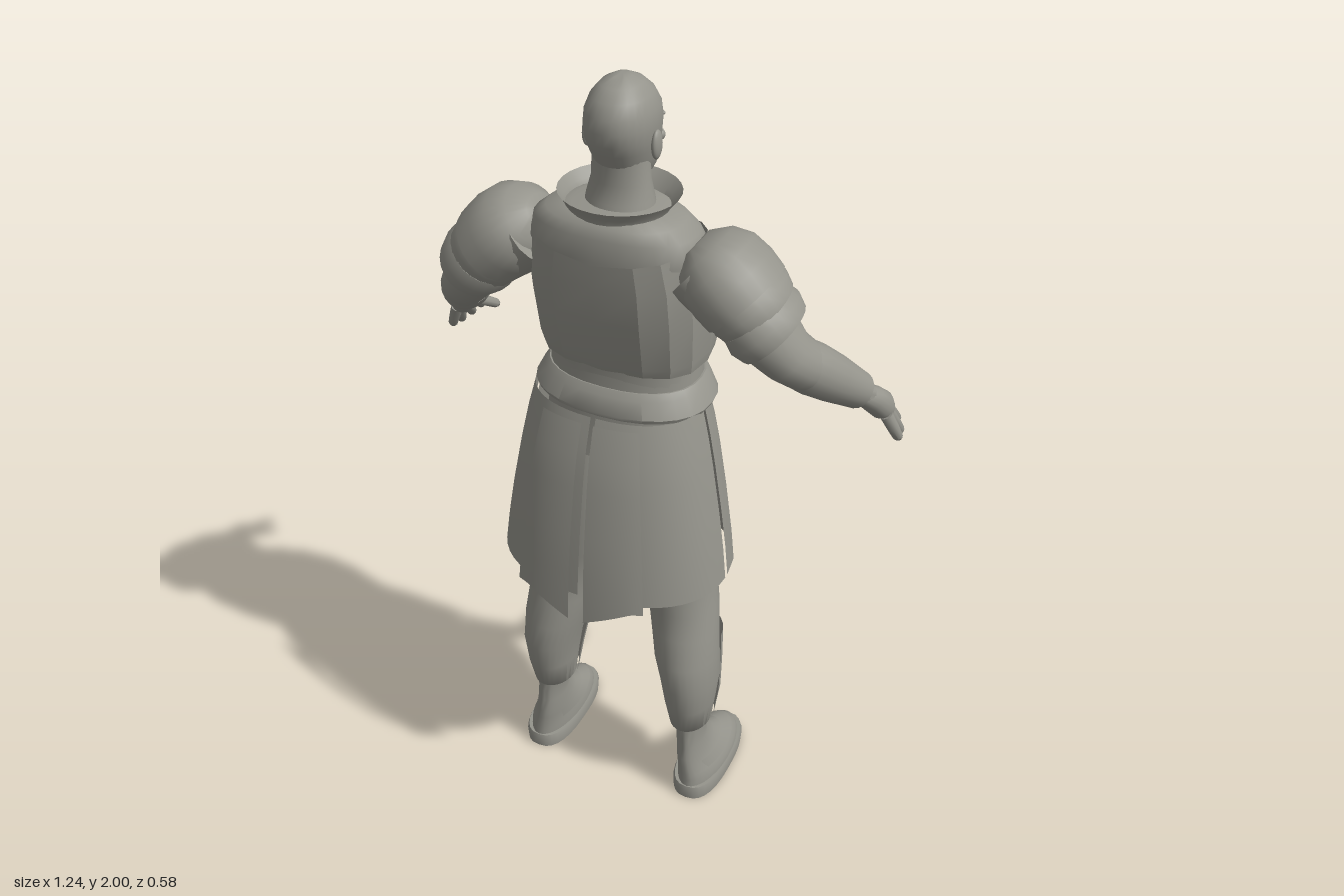
import * as THREE from 'three';
import { toCreasedNormals } from 'three/addons/utils/BufferGeometryUtils.js';

const grey = new THREE.MeshStandardMaterial({ color: 0x95948c, side: THREE.DoubleSide });
grey.name = 'plain grey';

// Joins cross-sections (arrays of points) into one surface
function skin(sections, { closed = true, caps = true, crease = 0.7 } = {}) {
  const n = sections[0].length, pos = [], idx = [];
  sections.forEach(s => s.forEach(p => pos.push(p.x, p.y, p.z)));
  const cols = closed ? n : n - 1;
  for (let i = 0; i < sections.length - 1; i++) {
    for (let j = 0; j < cols; j++) {
      const a = i * n + j, b = i * n + (j + 1) % n;
      idx.push(a, a + n, b, b, a + n, b + n);
    }
  }
  if (closed && caps) {
    for (const i of [0, sections.length - 1]) {
      const c = sections[i].reduce((m, p) => m.add(p), new THREE.Vector3()).divideScalar(n);
      const k = pos.length / 3;
      pos.push(c.x, c.y, c.z);
      for (let j = 0; j < n; j++) {
        const a = i * n + j, b = i * n + (j + 1) % n;
        idx.push(...(i === 0 ? [k, a, b] : [k, b, a]));
      }
    }
  }
  // Turn the faces outwards, judged from the body axis of the part
  const mid = new THREE.Vector3();
  sections.flat().forEach(p => mid.add(p));
  mid.divideScalar(n * sections.length);
  if (!closed) mid.z = 0.04;
  const v = k => new THREE.Vector3().fromArray(pos, k * 3).sub(mid);
  let volume = 0;
  for (let i = 0; i < idx.length; i += 3) volume += v(idx[i]).dot(v(idx[i + 1]).cross(v(idx[i + 2])));
  if (volume < 0) idx.reverse();
  const g = new THREE.BufferGeometry();
  g.setAttribute('position', new THREE.Float32BufferAttribute(pos, 3));
  g.setIndex(idx);
  return toCreasedNormals(g, crease);
}

// Point on a level ring [y, halfWidth, zBack, zFront, xCentre]; t = 0 is the face side (-z)
function ringPoint([y, rx, zb, zf, x0 = 0], t, p = 2) {
  const pw = q => Math.sign(q) * Math.abs(q) ** (2 / p);
  return new THREE.Vector3(x0 + rx * pw(Math.sin(t)), y, (zb + zf) / 2 - (zb - zf) / 2 * pw(Math.cos(t)));
}

function loft(rings, { n = 28, p = 2, lift = null, ...rest } = {}) {
  return skin(rings.map((r, i) => Array.from({ length: n }, (_, j) => {
    const t = j / n * Math.PI * 2, q = ringPoint(r, t, p);
    if (lift && i === rings.length - 1) q.y += lift(t);
    return q;
  })), rest);
}

// Open curved plate covering the angles t0..t1 (degrees)
function panel(rings, t0, t1, hem = null, p = 2.3) {
  const n = 12, rad = Math.PI / 180;
  return skin(rings.map((r, i) => Array.from({ length: n + 1 }, (_, j) => {
    const q = ringPoint(r, (t0 + (t1 - t0) * j / n) * rad, p);
    if (hem && i === rings.length - 1) q.y -= hem(q);
    return q;
  })), { closed: false });
}

// Limb along points [x, y, z, radius, radius towards z]
function limb(path, s, n = 18) {
  const pts = path.map(a => new THREE.Vector3(a[0] * s, a[1], a[2]));
  return skin(pts.map((c, i) => {
    const t = pts[Math.min(i + 1, pts.length - 1)].clone().sub(pts[Math.max(i - 1, 0)]).normalize();
    const v = new THREE.Vector3(0, 0, 1).addScaledVector(t, -t.z).normalize();
    const u = new THREE.Vector3().crossVectors(v, t);
    const [, , , ra, rb = ra] = path[i];
    return Array.from({ length: n }, (_, j) => {
      const a = j / n * Math.PI * 2;
      return c.clone().addScaledVector(u, ra * Math.cos(a)).addScaledVector(v, rb * Math.sin(a));
    });
  }));
}

export function createModel() {
  const root = new THREE.Group();
  const add = (name, geo, x = 0, y = 0, z = 0) => {
    const m = new THREE.Mesh(geo, grey);
    m.name = name;
    m.position.set(x, y, z);
    root.add(m);
    return m;
  };
  const blob = (name, x, y, z, sx, sy, sz) =>
    add(name, new THREE.SphereGeometry(1, 20, 14), x, y, z).scale.set(sx, sy, sz);

  // Head and neck
  add('head', loft([
    [1.758, 0.03, 0.03, -0.06], [1.768, 0.045, 0.055, -0.08], [1.79, 0.058, 0.075, -0.086],
    [1.815, 0.066, 0.088, -0.084], [1.845, 0.073, 0.104, -0.083], [1.87, 0.077, 0.116, -0.08],
    [1.9, 0.079, 0.121, -0.083], [1.93, 0.076, 0.117, -0.077], [1.96, 0.064, 0.102, -0.058],
    [1.983, 0.044, 0.077, -0.031], [1.996, 0.02, 0.045, -0.003], [2.0, 0.004, 0.024, 0.016],
  ], { p: 2.15, crease: 1.2 }));
  add('neck', loft([[1.66, 0.09, 0.12, -0.05], [1.73, 0.078, 0.095, -0.03],
    [1.77, 0.068, 0.083, -0.025], [1.84, 0.062, 0.09, -0.03]]));
  add('nose', new THREE.ConeGeometry(0.017, 0.05, 8), 0, 1.848, -0.086);
  blob('noseTip', 0, 1.832, -0.09, 0.015, 0.011, 0.014);
  blob('upperLip', 0, 1.805, -0.083, 0.024, 0.006, 0.009);
  blob('lowerLip', 0, 1.795, -0.082, 0.02, 0.006, 0.009);
  blob('chin', 0, 1.776, -0.074, 0.025, 0.015, 0.014);
  for (const s of [-1, 1]) {
    blob('ear', s * 0.081, 1.857, 0.025, 0.01, 0.033, 0.02);
    blob('brow', s * 0.031, 1.884, -0.073, 0.025, 0.008, 0.011);
    blob('cheek', s * 0.04, 1.84, -0.06, 0.022, 0.016, 0.016);
  }

  // Torso, breastplate and collar
  add('body', loft([
    [1.1, 0.19, 0.15, -0.1], [1.28, 0.178, 0.125, -0.12], [1.4, 0.18, 0.135, -0.13], [1.55, 0.19, 0.16, -0.12],
    [1.63, 0.205, 0.17, -0.09], [1.68, 0.19, 0.163, -0.06], [1.705, 0.16, 0.155, -0.05], [1.72, 0.1, 0.135, -0.045],
  ], { p: 2.4, crease: 1.2 }));
  add('breastplate', loft([
    [1.335, 0.198, 0.13, -0.155], [1.36, 0.203, 0.14, -0.16], [1.48, 0.21, 0.168, -0.176],
    [1.57, 0.208, 0.178, -0.14], [1.625, 0.19, 0.178, -0.105],
  ], { n: 16, p: 2.7, caps: false, crease: 0.3, lift: t => 0.03 * Math.abs(Math.sin(t)) }));
  add('collar', loft([[1.66, 0.11, 0.155, -0.055], [1.7, 0.108, 0.145, -0.05],
    [1.725, 0.122, 0.155, -0.07], [1.745, 0.138, 0.168, -0.095]], { caps: false }));

  // Belt with buckle
  add('belt', loft([[1.225, 0.215, 0.155, -0.15], [1.235, 0.22, 0.158, -0.155],
    [1.275, 0.2, 0.143, -0.148], [1.29, 0.188, 0.132, -0.14]], { p: 2.3 }));
  add('waistband', loft([[1.285, 0.184, 0.13, -0.137], [1.325, 0.182, 0.128, -0.136]], { p: 2.3 }));
  for (const k of [-1, 1]) {
    add('buckleBar', new THREE.BoxGeometry(0.06, 0.008, 0.012), 0, 1.257 + k * 0.022, -0.154);
    add('buckleSide', new THREE.BoxGeometry(0.008, 0.05, 0.012), k * 0.026, 1.257, -0.154);
  }

  // Skirt: curved panels around the hips, loose plates in front and behind
  const skirt = [[1.235, 0.208, 0.18, -0.125], [1.16, 0.226, 0.205, -0.145], [1.08, 0.242, 0.222, -0.157],
    [0.95, 0.265, 0.242, -0.168], [0.85, 0.28, 0.254, -0.174], [0.765, 0.29, 0.262, -0.176]];
  const grow = (d, dz) => skirt.map(([y, rx, zb, zf]) => [y, rx + d, zb + dz, zf - d]);
  add('frontSkirt', panel(skirt, -89, 89));
  add('backSkirtLeft', panel(skirt, 91, 179));
  add('backSkirtRight', panel(skirt, 181, 269));
  const point = q => 0.065 * Math.max(0, 1 - Math.abs(q.x) / 0.14);
  add('frontPlate', panel(grow(0.02, 0), -24, 24, point));
  add('backPlateLeft', panel(grow(0.015, 0.03), 150, 177.5, point));
  add('backPlateRight', panel(grow(0.015, 0.03), 182.5, 210, point));

  for (const s of [-1, 1]) {
    // Leg, ending in a boot cuff above the ankle
    add('leg', loft([
      [0.232, 0.042, 0.088, -0.03, 0.203], [0.24, 0.053, 0.1, -0.04, 0.203], [0.32, 0.064, 0.122, -0.05, 0.203],
      [0.4, 0.074, 0.134, -0.06, 0.201], [0.48, 0.082, 0.132, -0.064, 0.188], [0.56, 0.087, 0.112, -0.07, 0.176],
      [0.63, 0.09, 0.1, -0.085, 0.164], [0.72, 0.097, 0.104, -0.1, 0.144], [0.85, 0.11, 0.12, -0.105, 0.125],
      [1.1, 0.1, 0.12, -0.09, 0.11],
    ].map(r => [...r.slice(0, 4), r[4] * s]), { crease: 0.8 }));
    add('shinGuard', panel([
      [0.53, 0.086, 0.11, -0.083, 0.184], [0.46, 0.084, 0.12, -0.078, 0.19], [0.35, 0.074, 0.12, -0.066, 0.201],
      [0.245, 0.057, 0.095, -0.052, 0.203],
    ].map(r => [...r.slice(0, 4), r[4] * s]), -85, 85, null, 2));
    blob('kneePad', s * 0.172, 0.59, -0.075, 0.048, 0.055, 0.028);

    // Shoe
    const sole = (y, d) => [y, 0.066 + d, 0.106 + d, -0.208 - d, s * 0.226];
    add('sole', loft([sole(0, 0), sole(0.028, 0.002), sole(0.04, -0.002)], { p: 2.6 }));
    add('foot', loft([
      [0.035, 0.062, 0.102, -0.203, s * 0.226], [0.06, 0.061, 0.101, -0.19, s * 0.225],
      [0.078, 0.054, 0.1, -0.16, s * 0.222], [0.105, 0.046, 0.099, -0.11, s * 0.217],
      [0.13, 0.041, 0.098, -0.07, s * 0.213], [0.17, 0.036, 0.094, -0.03, s * 0.21],
      [0.205, 0.035, 0.093, -0.02, s * 0.208], [0.245, 0.041, 0.093, -0.025, s * 0.205],
    ], { crease: 1.2 }));
    add('shoeStrap', loft([[0.078, 0.058, 0.09, -0.168, s * 0.222],
      [0.11, 0.049, 0.09, -0.108, s * 0.217]], { caps: false }));

    // Arm and forearm guard
    add('upperArm', limb([[0.2, 1.62, 0.05, 0.09, 0.1], [0.29, 1.55, 0.05, 0.085, 0.1], [0.36, 1.475, 0.04, 0.07, 0.085],
      [0.4, 1.425, 0.025, 0.06, 0.07], [0.425, 1.395, 0.0, 0.058, 0.062], [0.45, 1.365, -0.03, 0.054]], s));
    add('forearm', limb([[0.415, 1.405, 0.01, 0.058], [0.44, 1.375, -0.022, 0.062], [0.475, 1.333, -0.068, 0.057],
      [0.525, 1.275, -0.13, 0.044], [0.528, 1.271, -0.134, 0.03]], s));

    // Layered shoulder guard
    add('shoulderGuard', limb([[0.19, 1.665, 0.05, 0.03, 0.05], [0.21, 1.648, 0.05, 0.073, 0.09], [0.24, 1.62, 0.05, 0.099, 0.115],
      [0.275, 1.588, 0.05, 0.104, 0.122], [0.308, 1.556, 0.05, 0.1, 0.122]], s, 24));
    [[0.295, 1.57], [0.33, 1.528]].forEach(([x, y], i) => {
      const r = 0.097 - i * 0.004;
      add('armBand', limb([[x, y, 0.048, r - 0.008, r + 0.012], [x + 0.02, y - 0.022, 0.046, r, r + 0.019],
        [x + 0.042, y - 0.046, 0.042, r - 0.008, r + 0.008]], s, 24));
    });

    // Hand with four fingers and a thumb
    add('wrist', limb([[0.515, 1.285, -0.12, 0.029], [0.54, 1.25, -0.155, 0.026]], s));
    add('palm', limb([[0.53, 1.262, -0.14, 0.024, 0.027], [0.548, 1.235, -0.17, 0.032, 0.032],
      [0.563, 1.205, -0.2, 0.032, 0.036], [0.573, 1.186, -0.217, 0.022, 0.028]], s));
    const digits = [
      ['indexFinger', [0.555, 1.205, -0.222], [0.563, 1.145, -0.29]],
      ['middleFinger', [0.568, 1.195, -0.217], [0.588, 1.12, -0.278]],
      ['ringFinger', [0.578, 1.187, -0.207], [0.606, 1.107, -0.25]],
      ['littleFinger', [0.58, 1.185, -0.192], [0.613, 1.11, -0.215]],
      ['thumb', [0.53, 1.237, -0.175], [0.488, 1.185, -0.25]],
    ];
    for (const [name, a, b] of digits) {
      const at = (k, r) => [...a.map((q, i) => q + (b[i] - q) * k), r];
      add(name, limb([at(0, 0.016), at(0.5, 0.0145), at(0.88, 0.0125), at(0.97, 0.008), at(1, 0.003)], s, 10));
    }
  }
  return root;
}
